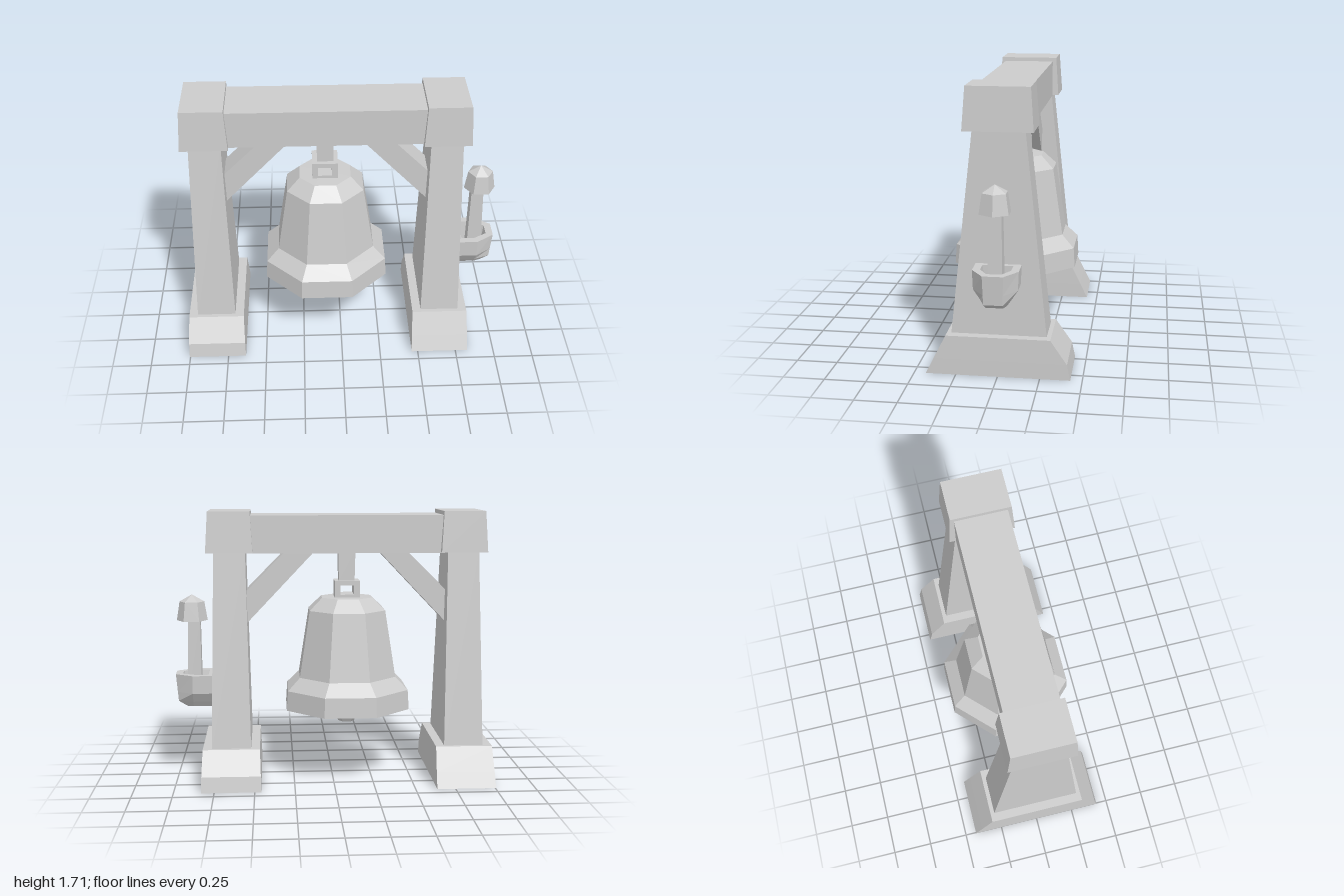
import * as THREE from 'three';

const material = new THREE.MeshStandardMaterial({ color: 0xcccccc, flatShading: true });

function add(group, name, geometry, x = 0, y = 0, z = 0) {
  const mesh = new THREE.Mesh(geometry, material);
  mesh.name = name;
  mesh.position.set(x, y, z);
  group.add(mesh);
  return mesh;
}

// Skins a stack of closed rings ([x, y, z] points, counter-clockwise from above) and caps both ends.
function loft(rings) {
  const n = rings[0].length, last = rings.length - 1, index = [];
  for (let r = 0; r < last; r++) {
    for (let i = 0; i < n; i++) {
      const a = r * n + i, b = r * n + (i + 1) % n;
      index.push(a, b, b + n, a, b + n, a + n);
    }
  }
  for (let i = 1; i < n - 1; i++) {
    index.push(0, i + 1, i, last * n, last * n + i, last * n + i + 1);
  }
  const g = new THREE.BufferGeometry();
  g.setAttribute('position', new THREE.Float32BufferAttribute(rings.flat(2), 3));
  g.setIndex(index);
  const flat = g.toNonIndexed();
  flat.computeVertexNormals();
  return flat;
}

// Tapered block from rectangles [y, x0, x1, z0, z1].
const block = (...levels) => loft(levels.map(([y, x0, x1, z0, z1]) =>
  [[x0, y, z1], [x1, y, z1], [x1, y, z0], [x0, y, z0]]));

// Outline extruded along z and centred on z = 0.
function plate(points, depth, hole) {
  const shape = new THREE.Shape(points.map(p => new THREE.Vector2(...p)));
  if (hole) shape.holes.push(new THREE.Path(hole.map(p => new THREE.Vector2(...p))));
  return new THREE.ExtrudeGeometry(shape, { depth, bevelEnabled: false }).translate(0, 0, -depth / 2);
}

const rect = (x0, x1, y0, y1) => [[x0, y0], [x1, y0], [x1, y1], [x0, y1]];

// Faceted turned form; radii are measured to the flats.
function turned(profile, sides) {
  const k = 1 / Math.cos(Math.PI / sides);
  const points = profile.map(([r, y]) => new THREE.Vector2(r * k, y));
  return new THREE.LatheGeometry(points, sides).rotateY(Math.PI / sides);
}

// Foot, post and cap; s = 1 has its worn, blunted foot edge at the back, s = -1 at the front.
function support(name, x, s) {
  const g = new THREE.Group();
  g.name = name;
  g.position.x = x;
  const foot = block(
    [0.005, -0.185, 0.185, -0.43, 0.43],
    [0.1, -0.183, 0.183, -0.41, 0.383],
    [0.245, -0.178, 0.178, -0.31, 0.31]);
  add(g, 'foot', foot).rotation.y = s > 0 ? 0 : Math.PI;
  add(g, 'post', block(
    [0.235, -0.123, 0.123, -0.285, 0.285],
    [1.47, -0.098, 0.098, -0.153, 0.153]));
  add(g, 'postCap', block(
    [1.46, -0.145, 0.145, -0.205, 0.205],
    [1.715, -0.13, 0.13, -0.187, 0.187]));
  return g;
}

function makeBell() {
  const g = new THREE.Group();
  g.name = 'bell';
  g.position.x = -0.095;
  // Open shell: inside from the crown down, round the rim, then up the outside
  add(g, 'bellShell', turned([
    [0, 1.09], [0.19, 1.05], [0.255, 0.66], [0.33, 0.56], [0.34, 0.455],
    [0.39, 0.455], [0.382, 0.58], [0.305, 0.66], [0.24, 1.085], [0.16, 1.165], [0, 1.17],
  ], 8));
  add(g, 'clapperRod', new THREE.CylinderGeometry(0.035, 0.04, 0.65, 6), 0, 0.77, 0);
  add(g, 'clapperBall', turned([
    [0, 0.34], [0.045, 0.35], [0.082, 0.41], [0.075, 0.47], [0.035, 0.52],
  ], 6));
  // Hanging eye and strap
  add(g, 'hangingEye', plate(rect(-0.08, 0.08, 1.155, 1.272), 0.16, rect(-0.043, 0.043, 1.185, 1.243)));
  add(g, 'hangingStrap', block(
    [1.265, -0.048, 0.052, -0.05, 0.05],
    [1.46, -0.053, 0.055, -0.05, 0.05]));
  return g;
}

// Striker standing in a cup on the outside of one post.
function makeStriker() {
  const g = new THREE.Group();
  g.name = 'striker';
  const ring = (y, back, mid, front, side, nose) => [
    [back, y, side], [mid, y, side], [front, y, nose],
    [front, y, -nose], [mid, y, -side], [back, y, -side]];
  add(g, 'strikerCup', loft([
    ring(0.47, 0.73, 0.89, 0.93, 0.065, 0.05),
    ring(0.505, 0.73, 0.89, 0.985, 0.09, 0.055),
    ring(0.565, 0.73, 0.89, 0.99, 0.13, 0.057),
    ring(0.68, 0.73, 0.89, 1.0, 0.135, 0.06),
    ring(0.68, 0.79, 0.875, 0.955, 0.09, 0.043),
    ring(0.53, 0.79, 0.87, 0.94, 0.07, 0.04),
  ]));
  add(g, 'strikerHandle', block(
    [0.5, 0.835, 0.93, -0.048, 0.042],
    [1.04, 0.84, 0.915, -0.04, 0.035]));
  add(g, 'strikerHead', turned([
    [0, 1.02], [0.085, 1.02], [0.068, 1.14], [0, 1.185],
  ], 6), 0.892, 0, 0);
  return g;
}

export function createModel() {
  const model = new THREE.Group();
  model.name = 'bellFrame';

  model.add(support('rightSupport', -0.82, -1));
  model.add(support('leftSupport', 0.645, 1));

  // Cross beam
  add(model, 'crossBeam', block(
    [1.455, -0.75, 0.58, -0.163, 0.163],
    [1.69, -0.75, 0.58, -0.163, 0.163]));

  // Diagonal braces under the beam
  add(model, 'rightBrace', plate([[-0.75, 0.98], [-0.295, 1.46], [-0.475, 1.46], [-0.75, 1.185]], 0.18));
  add(model, 'leftBrace', plate([[0.56, 0.99], [0.56, 1.195], [0.3, 1.46], [0.115, 1.46]], 0.18));

  model.add(makeBell());
  model.add(makeStriker());
  return model;
}
